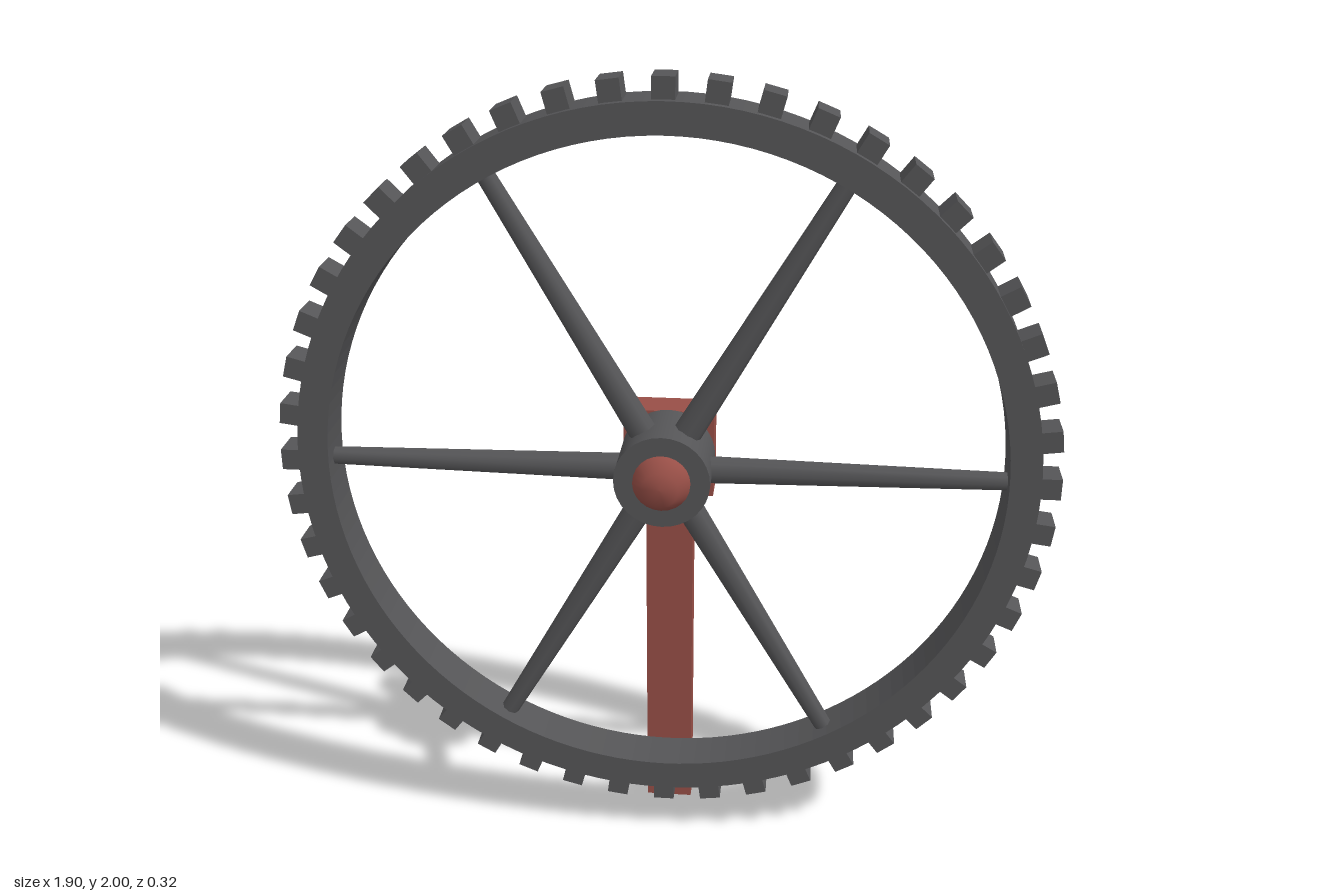
import * as THREE from 'three';

const AXLE_Y = 1.05; // height of the wheel's axis
const WHEEL_Z = 0.022; // middle plane of the wheel

export function createModel() {
  const model = new THREE.Group();
  const iron = new THREE.MeshStandardMaterial({ name: 'dark iron', color: 0x555557 });
  const red = new THREE.MeshStandardMaterial({ name: 'red paint', color: 0x984f47 });

  const add = (parent, name, geometry, material, x = 0, y = 0, z = 0) => {
    const mesh = new THREE.Mesh(geometry, material);
    mesh.name = name;
    mesh.position.set(x, y, z);
    parent.add(mesh);
    return mesh;
  };

  const wheel = new THREE.Group();
  wheel.name = 'wheel';
  wheel.position.set(0, AXLE_Y, WHEEL_Z);
  model.add(wheel);

  // Rim: a flat ring with square edges
  const ring = new THREE.Shape().absarc(0, 0, 0.9, 0, Math.PI * 2, false);
  ring.holes.push(new THREE.Path().absarc(0, 0, 0.825, 0, Math.PI * 2, true));
  const rim = new THREE.ExtrudeGeometry(ring, { depth: 0.12, bevelEnabled: false, curveSegments: 64 });
  add(wheel, 'rim', rim, iron, 0, 0, -0.06);

  // Teeth: square blocks sunk slightly into the rim
  const tooth = new THREE.BoxGeometry(0.07, 0.053, 0.08);
  const teeth = 48;
  for (let i = 0; i < teeth; i++) {
    const a = (i / teeth) * Math.PI * 2;
    add(wheel, 'tooth', tooth, iron, Math.cos(a) * 0.915, Math.sin(a) * 0.915, 0).rotation.z = a;
  }

  // Spokes: tapered bars from the hub to the rim
  const spoke = new THREE.CylinderGeometry(0.023, 0.036, 0.77, 8).translate(0, 0.455, 0);
  for (let i = 0; i < 6; i++) {
    add(wheel, 'spoke', spoke, iron).rotation.z = Math.PI / 6 + (i * Math.PI) / 3;
  }

  // Hub
  const hub = new THREE.CylinderGeometry(0.117, 0.117, 0.18, 32).rotateX(Math.PI / 2);
  add(wheel, 'hub', hub, iron);

  // Rounded axle cap on the front of the hub
  const capProfile = [[0.07, 0], [0.07, 0.02], [0.044, 0.057], [0, 0.059]]
    .map(([r, h]) => new THREE.Vector2(r, h));
  const cap = new THREE.LatheGeometry(capProfile, 24).rotateX(Math.PI / 2);
  add(model, 'axleCap', cap, red, 0, AXLE_Y, 0.1);

  // Support: bearing block on a straight post behind the wheel
  add(model, 'bearingBlock', new THREE.BoxGeometry(0.226, 0.226, 0.09), red, 0, AXLE_Y, -0.113);
  add(model, 'post', new THREE.BoxGeometry(0.12, 0.94, 0.062), red, 0, 0.47, -0.127);

  return model;
}
